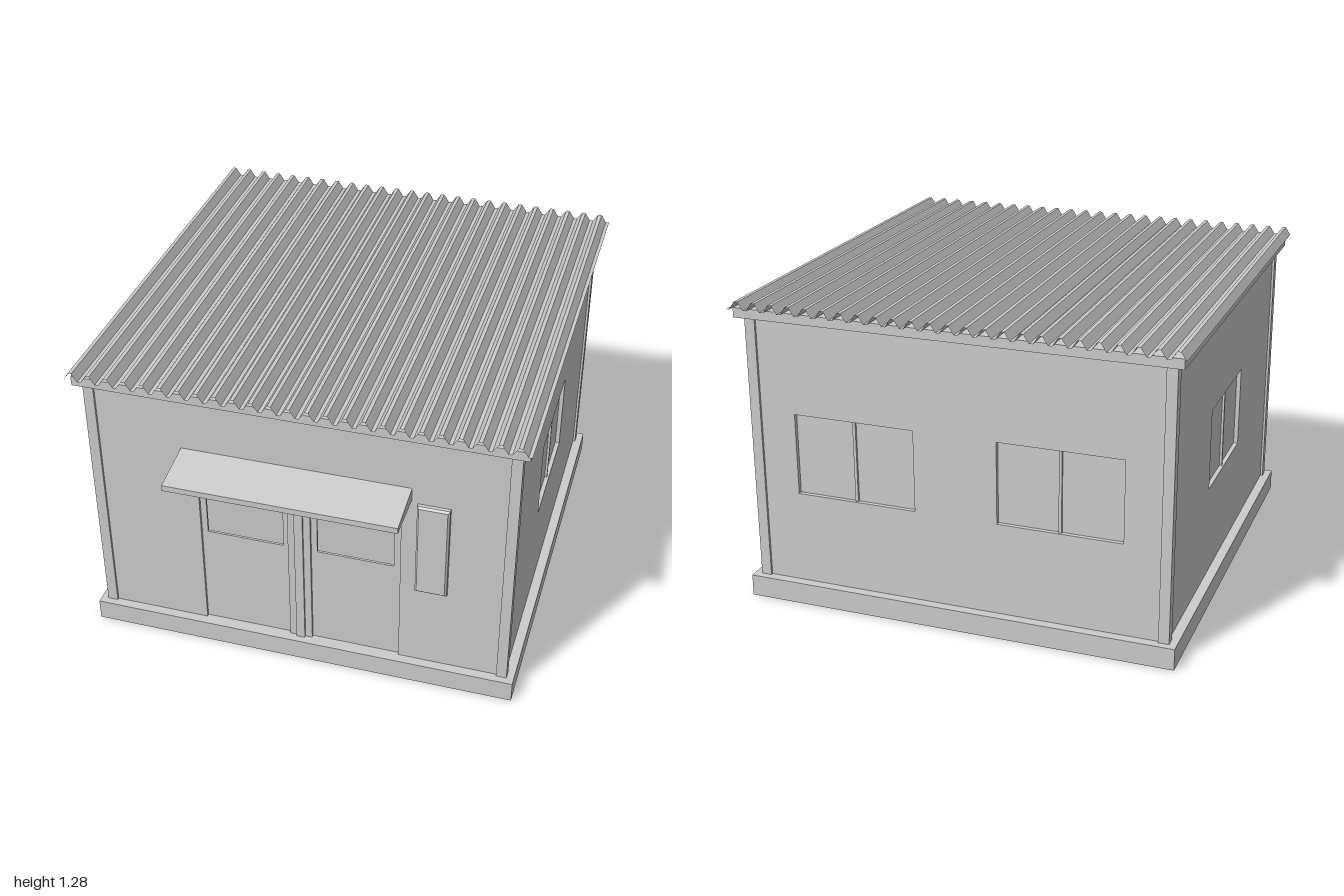
import * as THREE from 'three';

const mat = new THREE.MeshStandardMaterial({ color: 0xcccccc, flatShading: true });
const sheetMat = new THREE.MeshStandardMaterial({ color: 0xcccccc, flatShading: true, side: THREE.DoubleSide });

const WALL = 0.86;   // outer face of the walls
const POST = 0.87;   // outer face of the corner posts
const RIM = 0.9;     // outer face of plinth and roof slab

function add(parent, name, geometry, material = mat) {
  const mesh = new THREE.Mesh(geometry, material);
  mesh.name = name;
  parent.add(mesh);
  return mesh;
}

// Box given by its limits on each axis
function box(parent, name, [x0, x1], [y0, y1], [z0, z1]) {
  const g = new THREE.BoxGeometry(x1 - x0, y1 - y0, z1 - z0);
  g.translate((x0 + x1) / 2, (y0 + y1) / 2, (z0 + z1) / 2);
  return add(parent, name, g);
}

function trace(path, [x0, x1, y0, y1]) {
  path.moveTo(x0, y0);
  path.lineTo(x1, y0);
  path.lineTo(x1, y1);
  path.lineTo(x0, y1);
  path.closePath();
  return path;
}

// Upright panel with rectangular holes; its front lies at z = front
function panel(parent, name, outline, holes, front, depth) {
  const shape = trace(new THREE.Shape(), outline);
  shape.holes = holes.map((h) => trace(new THREE.Path(), h));
  const g = new THREE.ExtrudeGeometry(shape, { depth, bevelEnabled: false });
  g.translate(0, 0, front - depth);
  return add(parent, name, g);
}

// Two panes, set back in the wall, with a narrow mullion between them
function addWindow(parent, [x0, x1, y0, y1]) {
  const mid = (x0 + x1) / 2;
  box(parent, 'windowPane', [x0, mid - 0.006], [y0, y1], [WALL - 0.025, WALL - 0.018]);
  box(parent, 'windowPane', [mid + 0.006, x1], [y0, y1], [WALL - 0.025, WALL - 0.018]);
  box(parent, 'windowMullion', [mid - 0.006, mid + 0.006], [y0, y1], [WALL - 0.025, WALL - 0.008]);
}

// Open corrugated sheet with a trapezoid profile swept along z
function corrugatedSheet(x0, x1, yLow, yHigh, halfDepth, waves) {
  const pitch = (x1 - x0) / waves;
  const profile = [];
  for (let i = 0; i < waves; i++) {
    const x = x0 + i * pitch;
    profile.push([x, yLow], [x + pitch * 0.3, yHigh], [x + pitch * 0.5, yHigh], [x + pitch * 0.8, yLow]);
  }
  profile.push([x1, yLow]);
  const positions = [];
  const index = [];
  profile.forEach(([x, y], i) => {
    positions.push(x, y, -halfDepth, x, y, halfDepth);
    if (i > 0) {
      const a = 2 * (i - 1);
      index.push(a, a + 1, a + 3, a, a + 3, a + 2);
    }
  });
  const g = new THREE.BufferGeometry();
  g.setAttribute('position', new THREE.Float32BufferAttribute(positions, 3));
  g.setIndex(index);
  g.computeVertexNormals();
  return g;
}

export function createModel() {
  const model = new THREE.Group();
  model.name = 'smallBuilding';
  const house = new THREE.Group();
  house.name = 'house';
  house.position.z = -0.07;
  model.add(house);

  const doors = [
    { frame: [-0.42, -0.05, 0.09, 0.83], opening: [-0.395, -0.072, 0.55, 0.77] },
    { frame: [0.045, 0.415, 0.09, 0.83], opening: [0.07, 0.387, 0.55, 0.77] },
  ];
  const sideWindow = [[-0.26, 0.26, 0.475, 0.815]];
  const backWindows = [[-0.68, -0.172, 0.475, 0.815], [0.172, 0.68, 0.475, 0.815]];

  // Four sides, each built facing +z and turned into place
  const sides = [
    { name: 'front', holes: doors.map((d) => d.frame), windows: [] },
    { name: 'left', holes: sideWindow, windows: sideWindow },
    { name: 'back', holes: backWindows, windows: backWindows },
    { name: 'right', holes: sideWindow, windows: sideWindow },
  ];
  sides.forEach((side, i) => {
    const group = new THREE.Group();
    group.name = side.name + 'Side';
    group.rotation.y = (i * Math.PI) / 2;
    house.add(group);
    panel(group, side.name + 'Wall', [-WALL + 0.01, WALL - 0.01, 0.08, 1.21], side.holes, WALL, 0.02);
    side.windows.forEach((w) => addWindow(group, w));
    box(group, 'cornerPost', [POST - 0.043, POST], [0.08, 1.21], [POST - 0.043, POST]);
    const face = new THREE.PlaneGeometry(2 * RIM, 0.09);
    face.translate(0, 0.045, RIM);
    add(group, 'plinthFace', face, sheetMat);
  });

  // Ledge on top of the hollow plinth
  const ledgeShape = trace(new THREE.Shape(), [-RIM, RIM, -RIM, RIM]);
  ledgeShape.holes.push(trace(new THREE.Path(), [-0.84, 0.84, -0.84, 0.84]));
  const ledge = new THREE.ShapeGeometry(ledgeShape);
  ledge.rotateX(-Math.PI / 2);
  ledge.translate(0, 0.09, 0);
  add(house, 'plinthLedge', ledge, sheetMat);

  // Doors with open upper lights, and the post between them
  doors.forEach((d) => panel(house, 'door', d.frame, [d.opening], WALL - 0.012, 0.01));
  box(house, 'doorPost', [-0.02, 0.016], [0.09, 0.86], [WALL - 0.03, POST]);

  // Wedge-shaped awning over the doors
  const wedge = new THREE.Shape();
  wedge.moveTo(WALL - 0.005, 0.905);
  wedge.lineTo(1.07, 0.905);
  wedge.lineTo(1.07, 0.93);
  wedge.lineTo(WALL - 0.005, 0.962);
  wedge.closePath();
  const awning = new THREE.ExtrudeGeometry(wedge, { depth: 0.935, bevelEnabled: false });
  awning.rotateY(-Math.PI / 2);
  awning.translate(0.455, 0, 0);
  add(house, 'awning', awning);

  // Notice board with chamfered front edges
  const board = new THREE.ExtrudeGeometry(trace(new THREE.Shape(), [0.488, 0.602, 0.478, 0.887]), {
    depth: 0.015, bevelEnabled: true, bevelThickness: 0.008, bevelSize: 0.008, bevelSegments: 1,
  });
  board.translate(0, 0, WALL + 0.002);
  add(house, 'noticeBoard', board);

  // Roof slab and corrugated covering
  box(house, 'roofSlab', [-RIM, RIM], [1.205, 1.245], [-RIM, RIM]);
  add(house, 'corrugatedRoof', corrugatedSheet(-0.915, 0.91, 1.247, 1.28, 0.933, 25), sheetMat);

  return model;
}
